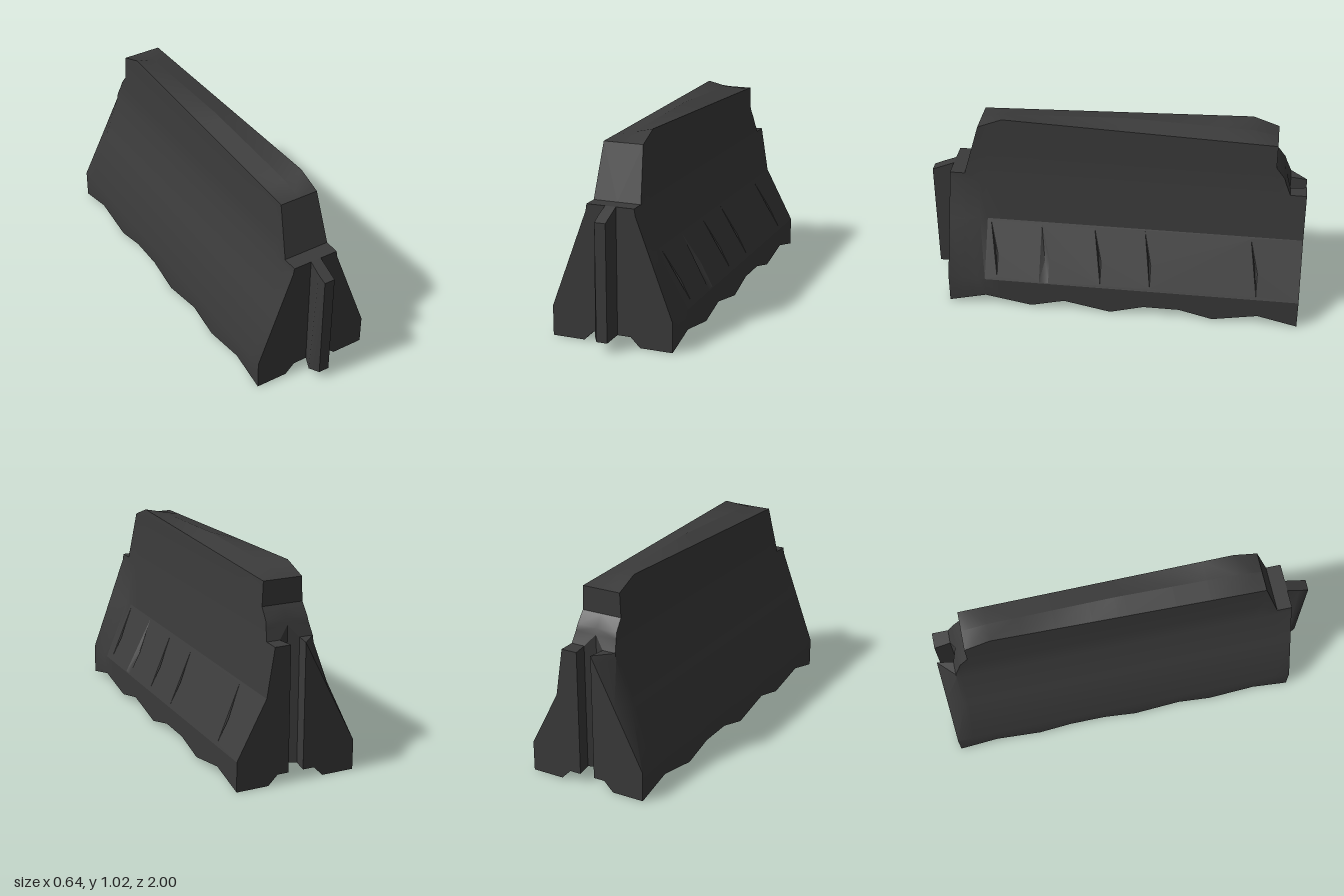
import * as THREE from 'three';
import { toCreasedNormals } from 'three/addons/utils/BufferGeometryUtils.js';

const material = new THREE.MeshStandardMaterial({ color: 0x3a3a3a, side: THREE.DoubleSide });

// Piecewise-linear lookup in a list of [key, value] with rising keys
function lerpTable(table, k) {
  if (k <= table[0][0]) return table[0][1];
  for (let i = 1; i < table.length; i++) {
    const [a, va] = table[i - 1], [b, vb] = table[i];
    if (k <= b) return va + ((vb - va) * (k - a)) / (b - a);
  }
  return table[table.length - 1][1];
}

// Half width of the wall by height
const WIDTH = [[0.155, 0.32], [0.45, 0.21], [0.665, 0.13], [0.78, 0.112], [0.975, 0.104], [1.025, 0.1]];
// Height by depth: wavy foot edge, middle of the underside, and the twisted top
const FOOT = [[-1, 0], [-0.79, 0.05], [-0.55, 0.005], [-0.37, 0.05], [-0.18, 0.05], [0, 0],
  [0.25, 0.05], [0.43, 0.005], [0.68, 0.05], [0.88, 0]];
const MIDDLE = [[-1, 0.05], [-0.79, 0.05], [-0.55, 0.015], [-0.37, 0.05], [-0.18, 0.03], [0, 0],
  [0.25, 0.05], [0.43, 0.015], [0.68, 0.05], [0.88, 0.05]];
const LEFT_TOP = [[-0.835, 0.975], [0.59, 1.025], [0.72, 0.975]];
const RIGHT_TOP = [[-0.835, 0.975], [-0.7, 1.025], [0.72, 0.975]];
const MIDDLE_TOP = [[-0.835, 0.975], [-0.7, 1.002], [-0.05, 1.025], [0.59, 1.002], [0.72, 0.975]];
const VALLEY = 0.045; // inward bend of the left side at y = 0.45

// Stations from front to back: [z, height limit, half width of the rear groove]
const STATIONS = [[0.88, 0.7, 0], [0.8, 0.7, 0],
  ...[0.72, 0.68, 0.59, 0.43, 0.25, 0, -0.05, -0.18, -0.37, -0.55, -0.7, -0.79, -0.835].map((z) => [z, 1.1, 0]),
  [-0.835, 0.85, 0], [-0.88, 0.79, 0], [-0.89, 0.76, 0], [-0.915, 0.7, 0.053], [-1, 0.7, 0.04]];

// Left side bends inward behind its front end
function leftWidth(y, z) {
  const bend = y === 0.45 ? VALLEY * Math.min(1, (0.88 - z) / 0.2) : 0;
  return lerpTable(WIDTH, y) - bend;
}

// Right side is straight and chamfered towards the groove at its rear end
function rightWidth(y, z) {
  const chamfer = Math.max(0.04, 0.32 - (0.28 * (y - 0.155)) / 0.545);
  return THREE.MathUtils.lerp(lerpTable(WIDTH, y), chamfer, Math.max(0, (-0.915 - z) / 0.085));
}

// Half cross-section, from the middle of the underside round to the middle of the top
function halfSection([z, limit, inner], side) {
  const foot = lerpTable(FOOT, z), middle = lerpTable(MIDDLE, z);
  const top = Math.min(limit, lerpTable(side > 0 ? LEFT_TOP : RIGHT_TOP, z));
  const points = [[inner, middle], [0.1, middle], [0.15, foot], [0.32, foot]];
  for (const [level] of WIDTH) {
    const y = Math.min(level, top);
    const width = side > 0 ? leftWidth(y, z) : rightWidth(y, z);
    points.push([Math.max(inner, width), y]);
  }
  points.push([inner, Math.min(limit, lerpTable(MIDDLE_TOP, z))], [inner, middle]);
  return points.map(([x, y]) => new THREE.Vector3(side * x, y, z));
}

// Smooth over gentle bends, sharp at edges
function fromTriangles(points) {
  return toCreasedNormals(new THREE.BufferGeometry().setFromPoints(points), 0.5);
}

// Joins successive sections with quads; skip(station, edge) leaves openings
function loft(sections, flip = false, skip = () => false) {
  const out = [];
  const add = (a, b, c) => {
    const area = new THREE.Triangle(a, b, c).getArea();
    if (area > 1e-7) out.push(a, b, c);
  };
  for (let k = 0; k < sections.length - 1; k++) {
    for (let i = 0; i < sections[k].length - 1; i++) {
      if (skip(k, i)) continue;
      const a = sections[k][i], b = sections[k][i + 1];
      const d = sections[k + 1][i], c = sections[k + 1][i + 1];
      if (flip) { add(a, b, d); add(b, c, d); } else { add(a, d, b); add(b, d, c); }
    }
  }
  return fromTriangles(out);
}

function addMesh(parent, name, geometry) {
  const mesh = new THREE.Mesh(geometry, material);
  mesh.name = name;
  parent.add(mesh);
  return mesh;
}

// Point on the lower slope of the left side, pushed in by depth
function onSlope(z, y, depth = 0) {
  const x = 0.32 - ((0.11 + VALLEY) * (y - 0.155)) / 0.295;
  return new THREE.Vector3(x - depth, y, z);
}

function addSlopeWithSlits(parent) {
  const slits = [[0.66, 0.614], [0.385, 0.335], [0.1, 0.055], [-0.17, -0.211], [-0.73, -0.775]]
    .map(([a, b], i) => i === 1
      ? [[a, 0.44], [a, 0.16], [b, 0.16], [b, 0.28]]
      : [[a, 0.44], [b, 0.17], [b, 0.28]]);

  // Side panel, drawn flat and then laid onto the slope
  const shape = new THREE.Shape([[-0.68, 0.155], [1, 0.155], [1, 0.45], [-0.68, 0.45]]
    .map(([u, v]) => new THREE.Vector2(u, v)));
  for (const slit of slits) {
    shape.holes.push(new THREE.Path(slit.map(([z, y]) => new THREE.Vector2(-z, y))));
  }
  const panel = new THREE.ShapeGeometry(shape);
  const pos = panel.attributes.position;
  for (let i = 0; i < pos.count; i++) {
    const p = onSlope(-pos.getX(i), pos.getY(i));
    pos.setXYZ(i, p.x, p.y, p.z);
  }
  panel.computeVertexNormals();
  addMesh(parent, 'slopePanel', panel);

  // Shallow pockets behind the slits
  const faces = [];
  for (const slit of slits) {
    const n = slit.length;
    const z = slit.reduce((s, p) => s + p[0], 0) / n;
    const y = slit.reduce((s, p) => s + p[1], 0) / n;
    const apex = onSlope(z, y, 0.015);
    slit.forEach((p, i) => faces.push(onSlope(...p), onSlope(...slit[(i + 1) % n]), apex));
  }
  addMesh(parent, 'slitPockets', fromTriangles(faces));
}

export function createModel() {
  const model = new THREE.Group();
  model.name = 'roadBarrier';

  // Wall halves; the left one leaves room for the slit panel
  const left = STATIONS.map((s) => halfSection(s, 1));
  const right = STATIONS.map((s) => halfSection(s, -1));
  const noCore = (k, i) => i === 10 && STATIONS[k + 1][2] === 0;
  addMesh(model, 'leftWall', loft(left, false, (k, i) => (i === 4 && k >= 3) || noCore(k, i)));
  addMesh(model, 'rightWall', loft(right, true, noCore));
  addSlopeWithSlits(model);

  // End faces: two halves at the front, two beside the groove at the back
  const last = STATIONS.length - 1;
  for (const [side, set] of [['left', left], ['right', right]]) {
    const outline = (section, sign) => new THREE.Shape(section.slice(0, -1)
      .filter((p, i, all) => i === 0 || p.distanceTo(all[i - 1]) > 1e-6)
      .map((p) => new THREE.Vector2(sign * p.x, p.y)));
    addMesh(model, side + 'FrontFace', new THREE.ShapeGeometry(outline(set[0], 1))).position.z = 0.88;
    const back = addMesh(model, side + 'BackFace', new THREE.ShapeGeometry(outline(set[last], -1)));
    back.rotation.y = Math.PI;
    back.position.z = -1;
  }

  // Small lug hanging under the wall
  const root = new THREE.Vector3(-0.1, 0.06, 0.27);
  const rim = [[-0.06, 0.015, 0.43], [-0.17, 0, 0.31], [-0.06, 0.04, 0.2]].map((p) => new THREE.Vector3(...p));
  const lug = [rim[0], rim[1], rim[2]];
  rim.forEach((p, i) => lug.push(rim[(i + 1) % 3], p, root));
  addMesh(model, 'underLug', fromTriangles(lug));

  // Connecting tongue on the front, flaring to one side towards the foot
  const ring = (flare, height) => [[0.03, 0.88], [0.03, 1], [-0.027, 1], [flare, 0.95], [-0.027, 0.88], [0.03, 0.88]]
    .map(([x, z]) => new THREE.Vector3(x, height(z), z));
  const low = ring(-0.057, () => 0.05);
  const high = ring(-0.03, (z) => 0.7 - ((z - 0.88) * 0.05) / 0.12);
  const tongue = new THREE.Group();
  tongue.name = 'tongue';
  model.add(tongue);
  addMesh(tongue, 'tongueSides', loft([low, high]));
  const caps = [];
  for (let i = 1; i < 4; i++) {
    caps.push(high[0], high[i + 1], high[i], low[0], low[i], low[i + 1]);
  }
  addMesh(tongue, 'tongueEnds', fromTriangles(caps));

  return model;
}
